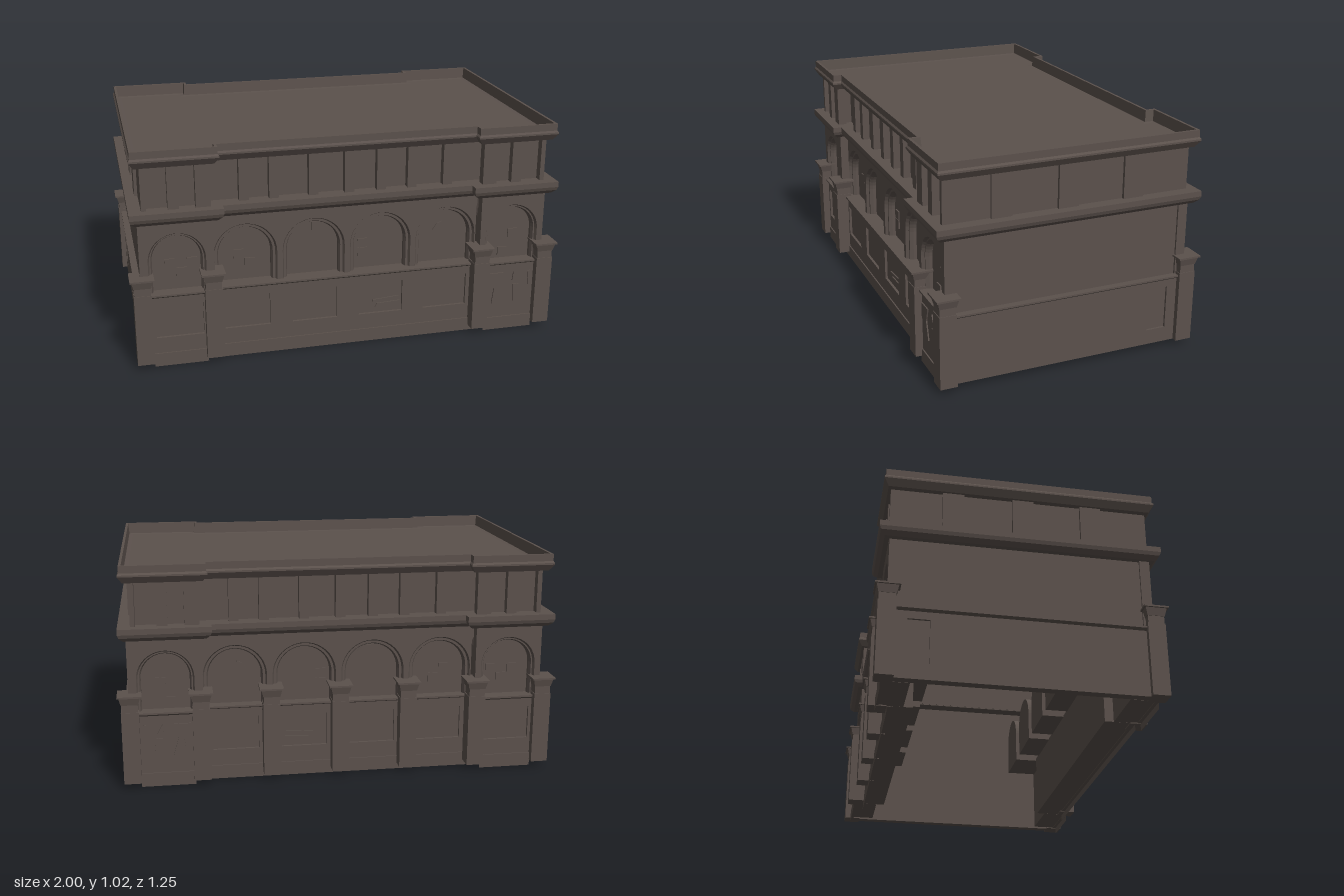
import * as THREE from 'three';

const stone = new THREE.MeshStandardMaterial({ color: 0x5b514c, side: THREE.DoubleSide });
stone.name = 'brown stone';

function add(parent, name, geo, x = 0, y = 0, z = 0) {
  const m = new THREE.Mesh(geo, stone);
  m.name = name;
  m.position.set(x, y, z);
  parent.add(m);
  return m;
}

// box given by its limits
function block(parent, name, x0, x1, y0, y1, z0, z1) {
  add(parent, name, new THREE.BoxGeometry(x1 - x0, y1 - y0, z1 - z0),
    (x0 + x1) / 2, (y0 + y1) / 2, (z0 + z1) / 2);
}

// plan outline with projecting end bays, offset outward by d
function outline(d) {
  const X = 0.94 + d, Z = 0.572 + d, xi = 0.62 - d, zi = 0.53 + d;
  const half = [[X, Z], [xi, Z], [xi, zi], [-xi, zi], [-xi, Z], [-X, Z]];
  return half.concat(half.map(([x, z]) => [-x, -z]));
}

// flat-shaded skin between successive rows of points
function skin(rows, closed) {
  const pos = [];
  for (let k = 0; k < rows.length - 1; k++) {
    const n = rows[k].length;
    for (let i = 0; i < (closed ? n : n - 1); i++) {
      const j = (i + 1) % n;
      const a = rows[k][i], b = rows[k][j], c = rows[k + 1][j], e = rows[k + 1][i];
      pos.push(...a, ...e, ...c, ...a, ...c, ...b);
    }
  }
  const g = new THREE.BufferGeometry();
  g.setAttribute('position', new THREE.Float32BufferAttribute(pos, 3));
  g.computeVertexNormals();
  return g;
}

// sweep an [offset, height] profile round the plan outline
const band = (parent, name, profile) =>
  add(parent, name, skin(profile.map(([d, y]) => outline(d).map(([x, z]) => [x, y, z])), true));

// arch line: left foot, over the top, right foot
function archPoints(cx, r, y0, spring) {
  const pts = [[cx - r, y0]];
  for (let i = 0; i <= 20; i++) {
    const a = Math.PI * (1 - i / 20);
    pts.push([cx + r * Math.cos(a), spring + r * Math.sin(a)]);
  }
  pts.push([cx + r, y0]);
  return pts;
}

const polygon = pts => new THREE.Shape(pts.map(p => new THREE.Vector2(p[0], p[1])));
const rect = (x0, x1, y0, y1) => [[x0, y0], [x1, y0], [x1, y1], [x0, y1]];
const extrude = (shape, depth) => new THREE.ExtrudeGeometry(shape, { depth, bevelEnabled: false });

// slab with openings cut through it
function piercedWall(parent, name, outer, holes, z0, z1) {
  const s = polygon(outer);
  for (const h of holes) s.holes.push(polygon(h));
  add(parent, name, extrude(s, z1 - z0), 0, 0, z0);
}

// projecting ledge with a chamfered underside
function ledge(parent, x0, x1, back, face) {
  const g = extrude(polygon([[back, 0.335], [face, 0.335], [face + 0.012, 0.344], [face + 0.012, 0.352], [back, 0.352]]), x1 - x0);
  g.rotateY(-Math.PI / 2);
  add(parent, 'ledge', g, x1);
}

// wall with arched openings, stepped mouldings and deep infill blocks behind them
function arcade(parent, x0, x1, centres, r, R, spring, face) {
  piercedWall(parent, 'arcadeWall', rect(x0, x1, 0.33, 0.7),
    centres.map(c => archPoints(c, R, 0.35, spring)), face - 0.045, face);
  const steps = [[R, 0], [R - 0.007, -0.014], [r + 0.007, -0.014], [r, -0.03], [r, -0.046]];
  const back = 0.31;
  for (const c of centres) {
    add(parent, 'archMoulding', skin(steps.map(([rad, dz]) =>
      archPoints(c, rad, 0.35, spring).map(([x, y]) => [x, y, face + dz])), false));
    add(parent, 'archInfill', extrude(polygon(archPoints(c, r + 0.002, 0.345, spring)), face - 0.045 - back),
      0, 0, back);
  }
}

// square pier with a flared capital
function pier(parent, x, z) {
  const g = new THREE.Group();
  g.name = 'pier';
  g.position.set(x, 0, z);
  parent.add(g);
  block(g, 'shaft', -0.039, 0.039, 0.03, 0.365, -0.039, 0.039);
  block(g, 'neck', -0.036, 0.036, 0.365, 0.4, -0.036, 0.036);
  const flare = new THREE.CylinderGeometry(0.047 * Math.SQRT2, 0.038 * Math.SQRT2, 0.036, 4).toNonIndexed();
  flare.rotateY(Math.PI / 4);
  flare.computeVertexNormals();
  add(g, 'flare', flare, 0, 0.418, 0);
  block(g, 'cap', -0.054, 0.054, 0.435, 0.443, -0.054, 0.054);
}

// lower wall with sunken panels, ledge, plinth and a thin skirt
function lowerWall(parent, x0, x1, panels, back, face) {
  piercedWall(parent, 'panelledWall', rect(x0, x1, 0.035, 0.345), panels, face - 0.012, face);
  block(parent, 'wallCore', x0, x1, 0.035, 0.345, back, face - 0.012);
  ledge(parent, x0, x1, back, face);
  block(parent, 'plinth', x0, x1, 0.032, 0.065, face - 0.01, face + 0.006);
  add(parent, 'skirt', new THREE.PlaneGeometry(x1 - x0, 0.032), (x0 + x1) / 2, 0.018, face + 0.006);
}

// one long side, facing +z; m mirrors the small damaged patches
function facade(parent, isFront) {
  const f = new THREE.Group(), m = isFront ? 1 : -1;
  f.name = isFront ? 'frontFacade' : 'backFacade';
  if (!isFront) f.rotation.y = Math.PI;
  parent.add(f);
  const mids = [-0.475, -0.16, 0.155, 0.47], low = isFront ? 0.55 : 0.525;

  arcade(f, -0.62, 0.62, mids, 0.12, 0.145, 0.49, 0.53);
  lowerWall(f, -0.662, 0.662, mids.map(x => rect(x - 0.105, x + 0.105, 0.14, 0.295)), 0.42, low);

  for (const s of [-1, 1]) {
    const c = s * 0.785;
    arcade(f, c - 0.16 + s * 0.005, c + 0.16 - s * 0.005, [c], 0.108, 0.128, 0.505, 0.57);
    lowerWall(f, c - 0.122, c + 0.122, s === m ? [] : [rect(c - 0.107, c + 0.107, 0.14, 0.295)], 0.46, 0.575);
    pier(f, s * 0.945, 0.571);
    pier(f, s * 0.632, 0.571);
    // frieze strips on the end bays
    for (const [x, w] of [[0.79, 0.048], [0.66, 0.066]])
      block(f, 'friezeStrip', s * x - w / 2, s * x + w / 2, 0.74, 0.95, 0.53, 0.572);
  }
  for (const x of [-0.475, -0.34, -0.16, 0.005, 0.155, 0.3, 0.47])
    block(f, 'friezeStrip', x - 0.022, x + 0.022, 0.74, 0.95, 0.49, 0.53);
  if (!isFront) for (const x of [-0.315, 0, 0.315]) pier(f, x, 0.547);

  // broken panes and patches
  const pane = (x, y, z) => block(f, 'brokenPane', m * x - 0.023, m * x + 0.023, y, y + 0.043, z, z + 0.006);
  for (const [x, y] of [[-0.815, 0.455], [-0.763, 0.41], [-0.715, 0.455], [0.807, 0.455], [0.76, 0.365]])
    pane(x, y, 0.525);
  for (const [x, y] of [[-0.5, 0.455], [-0.45, 0.41], [0.08, 0.455], [0.08, 0.41]]) pane(x, y, 0.485);
  const shards = [
    [0.485, [[-0.16, 0.6], [-0.12, 0.605], [-0.09, 0.575], [-0.13, 0.545], [-0.16, 0.56]]],
    [0.485, [[0.42, 0.51], [0.465, 0.505], [0.465, 0.55], [0.44, 0.54]]],
    [low - 0.012, [[0.12, 0.205], [0.245, 0.215], [0.245, 0.2], [0.12, 0.195]]],
    [low - 0.012, [[0.13, 0.165], [0.25, 0.168], [0.25, 0.19], [0.14, 0.185]]],
    [0.575, [[0.68, 0.295], [0.755, 0.295], [0.735, 0.23], [0.76, 0.145], [0.7, 0.14], [0.71, 0.22], [0.68, 0.22]]],
    [0.575, [[0.805, 0.295], [0.83, 0.25], [0.825, 0.23], [0.8, 0.25]]],
    [0.575, [[0.805, 0.23], [0.835, 0.23], [0.845, 0.15], [0.81, 0.14]]],
    [0.575, [[0.89, 0.295], [0.9, 0.21], [0.885, 0.22], [0.875, 0.29]]],
  ];
  for (const [z, pts] of shards)
    add(f, 'shard', extrude(polygon(pts.map(([x, y]) => [m * x, y])), 0.006), 0, 0, z);
}

export function createModel() {
  const model = new THREE.Group();
  model.name = 'arcadedBuilding';

  facade(model, true);
  facade(model, false);

  // short sides
  for (const s of [-1, 1]) {
    const side = new THREE.Group();
    side.name = 'sideWall';
    side.rotation.y = s * Math.PI / 2;
    model.add(side);
    block(side, 'upperSideWall', -0.57, 0.57, 0.33, 0.7, 0.92, 0.941);
    block(side, 'sideCore', -0.54, 0.54, 0.03, 0.345, 0.92, 0.95);
    const p = s * 0.437;
    piercedWall(side, 'lowerSideWall', rect(-0.54, 0.54, 0.03, 0.345),
      [rect(p - 0.047, p + 0.047, 0.1, 0.3)], 0.95, 0.96);
    ledge(side, -0.54, 0.54, 0.92, 0.96);
    block(side, 'sideFrieze', -0.572, 0.572, 0.74, 0.95, 0.907, 0.928);
    for (const z of [0.315, 0.01, -0.298])
      block(side, 'friezeStrip', -s * z - 0.047, -s * z + 0.047, 0.74, 0.95, 0.92, 0.942);
  }

  // cornices and frieze run round the whole plan
  band(model, 'middleCornice', [[0, 0.683], [0.02, 0.686], [0.038, 0.704], [0.044, 0.72], [0.044, 0.745], [-0.035, 0.745]]);
  band(model, 'friezeWall', [[-0.034, 0.74], [-0.034, 0.95]]);
  band(model, 'topCornice', [[-0.035, 0.942], [0.012, 0.942], [0.032, 0.972], [0.032, 0.98], [0.026, 0.988],
    [0.026, 1.02], [0.014, 1.02], [0.01, 0.967], [-0.01, 0.965]]);

  // roof deck inside the parapet
  const roof = new THREE.ShapeGeometry(polygon(outline(-0.01).map(([x, z]) => [x, -z])));
  roof.rotateX(-Math.PI / 2);
  add(model, 'roofDeck', roof, 0, 0.965, 0);

  return model;
}
